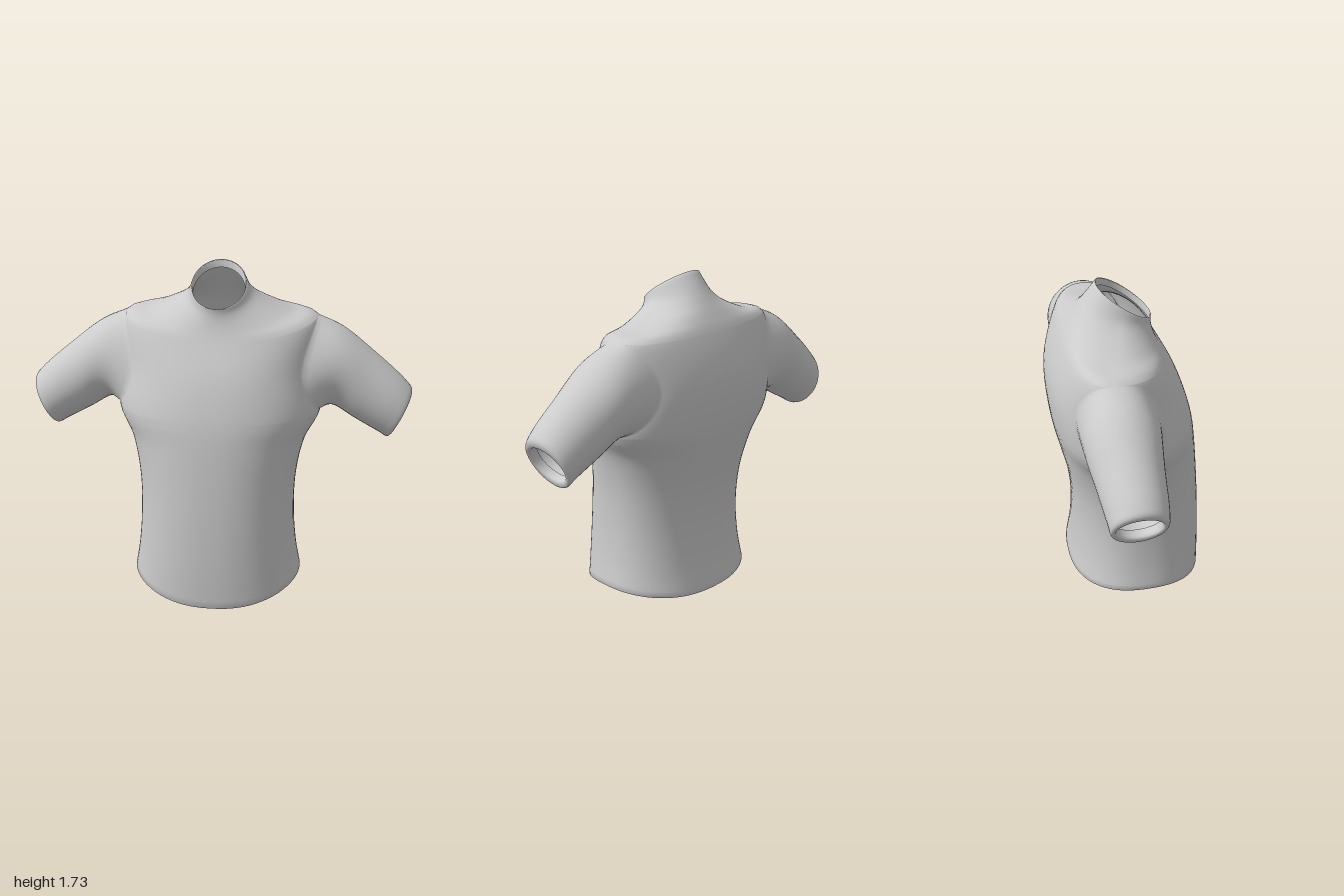
import * as THREE from 'three';

const V = (x, y, z) => new THREE.Vector3(x, y, z);

// Body sections from hem to collar rim: [frontY, frontZ, backY, backZ, sideX, sideY, sideZ]
const sections = [
  [0.00, 0.400, 0.05, -0.318, 0.445, 0.090, 0.03],
  [0.20, 0.400, 0.20, -0.295, 0.420, 0.240, 0.04],
  [0.42, 0.393, 0.42, -0.285, 0.405, 0.440, 0.04],
  [0.65, 0.378, 0.63, -0.305, 0.413, 0.650, 0.02],
  [0.87, 0.357, 0.83, -0.350, 0.455, 0.840, -0.02],
  [1.00, 0.335, 1.00, -0.385, 0.530, 0.985, -0.08], // armpit
  [1.20, 0.270, 1.25, -0.395, 0.515, 1.200, -0.12],
  [1.38, 0.175, 1.46, -0.327, 0.500, 1.455, -0.13], // shoulder
  [1.43, 0.152, 1.53, -0.285, 0.360, 1.490, -0.11],
  [1.475, 0.138, 1.585, -0.245, 0.220, 1.550, -0.06], // neck base
  [1.51, 0.133, 1.64, -0.205, 0.165, 1.590, -0.03],
  [1.54, 0.135, 1.73, -0.140, 0.140, 1.635, 0.00], // rim
];
const LAST = sections.length - 1;
const frontLine = new THREE.CatmullRomCurve3(sections.map(s => V(0, s[0], s[1])));
const backLine = new THREE.CatmullRomCurve3(sections.map(s => V(0, s[2], s[3])));
const sideLine = new THREE.CatmullRomCurve3(sections.map(s => V(s[4], s[5], s[6])));

// Sleeve sections outward: [topX, topY, bottomX, bottomY, frontZ, backZ]; the last two turn inside the cuff
const sleeveSections = [
  [0.630, 1.400, 0.585, 0.985, 0.070, -0.305],
  [0.800, 1.270, 0.700, 0.920, 0.055, -0.278],
  [0.960, 1.130, 0.830, 0.850, 0.045, -0.250],
  [0.997, 1.080, 0.877, 0.825, 0.033, -0.238],
  [0.985, 1.045, 0.885, 0.855, 0.013, -0.217],
  [0.940, 1.060, 0.845, 0.875, 0.008, -0.212],
];

const PANEL = 36;   // columns per front or back panel
const ARM = 20;     // rows along the armhole
const FRONT_ARM = 0.58, BACK_ARM = 0.72; // armhole half-angles

// Point on the body at section t and angle a (0 = left side, PI/2 = front)
function bodyPoint(t, a) {
  const s = Math.sin(a), c = Math.cos(a), k = t / LAST;
  const side = sideLine.getPoint(k);
  const mid = (s >= 0 ? frontLine : backLine).getPoint(k);
  const upper = THREE.MathUtils.smoothstep(t, 7, LAST);
  const e = THREE.MathUtils.lerp(0.88, 1, upper);
  const as = Math.abs(s);
  return V(
    side.x * Math.sign(c) * Math.abs(c) ** e,
    side.y + (mid.y - side.y) * as ** (2 - upper),
    side.z + (mid.z - side.z) * as ** e);
}

// Angle of the armhole edge around its loop (p = 0 armpit, PI shoulder)
const armAngle = p => Math.sin(p) * (p <= Math.PI ? FRONT_ARM : BACK_ARM);
const armSection = p => 6 - Math.cos(p);

export function createModel() {
  const positions = [], lookup = new Map();

  // Shared vertices keep shading smooth where body and sleeves join
  function vertex(p) {
    const key = [p.x, p.y, p.z].map(v => Math.round(v * 1e4 + 0.123)).join();
    if (!lookup.has(key)) {
      lookup.set(key, positions.length / 3);
      positions.push(p.x, p.y, p.z);
    }
    return lookup.get(key);
  }

  function skin(rows, index, flip = false) {
    const ids = rows.map(r => r.map(vertex));
    const tri = (a, b, c) => {
      if (a !== b && b !== c && a !== c) index.push(...(flip ? [a, c, b] : [a, b, c]));
    };
    for (let i = 0; i < ids.length - 1; i++) {
      for (let j = 0; j < ids[i].length - 1; j++) {
        const a = ids[i][j], b = ids[i + 1][j], c = ids[i + 1][j + 1], d = ids[i][j + 1];
        tri(a, b, c);
        tri(a, c, d);
      }
    }
  }

  // Body rows: evenly below the armpit, around the armhole, then up the neck
  const steps = [];
  for (let i = 0; i < 25; i++) steps.push({ t: i / 5, p: 0 });
  for (let i = 0; i <= ARM; i++) {
    const p = Math.PI * i / ARM;
    steps.push({ t: armSection(p), p });
  }
  for (let i = 1; i <= 20; i++) steps.push({ t: 7 + i / 5, p: 0 });

  const bodyIndex = [];
  for (const back of [false, true]) {
    const rows = steps.map(({ t, p }) => {
      const edge = p ? Math.sin(p) * (back ? BACK_ARM : FRONT_ARM) : 0;
      return Array.from({ length: PANEL + 1 }, (_, j) =>
        bodyPoint(t, (back ? Math.PI : 0) + edge + (Math.PI - 2 * edge) * j / PANEL));
    });
    // Turned-in lips at hem and collar
    const lip = (row, scale, dy, zc) =>
      row.map(q => V(q.x * scale, q.y + dy, zc + (q.z - zc) * scale));
    const hem = rows[0], rim = rows[rows.length - 1];
    rows.unshift(lip(hem, 0.93, 0.05, 0.04), lip(hem, 0.94, 0.012, 0.04), lip(hem, 0.97, 0, 0.04));
    rows.push(lip(rim, 0.96, -0.006, 0), lip(rim, 0.94, -0.04, 0));
    skin(rows, bodyIndex);
  }

  // Sleeves: each lengthwise line runs from the armhole edge to the cuff
  const lines = Array.from({ length: 2 * ARM + 1 }, (_, j) => {
    const p = Math.PI * j / ARM, c = Math.cos(p), s = Math.sin(p);
    const pts = sleeveSections.map(([tx, ty, bx, by, zf, zb]) => V(
      (tx + bx) / 2 - c * (tx - bx) / 2,
      (ty + by) / 2 - c * (ty - by) / 2,
      (zf + zb) / 2 + s * (zf - zb) / 2));
    return new THREE.CatmullRomCurve3([bodyPoint(armSection(p), armAngle(p)), ...pts]).getPoints(36);
  });
  const sleeveIndex = { leftSleeve: [], rightSleeve: [] };
  for (const [name, index] of Object.entries(sleeveIndex)) {
    const m = name === 'leftSleeve' ? 1 : -1;
    const rows = lines[0].map((_, i) => lines.map(l => V(l[i].x * m, l[i].y, l[i].z)));
    skin(rows, index, m < 0);
  }

  // Normals come from the whole garment, then each part takes its own faces
  const whole = new THREE.BufferGeometry();
  whole.setAttribute('position', new THREE.Float32BufferAttribute(positions, 3));
  whole.setIndex([...bodyIndex, ...sleeveIndex.leftSleeve, ...sleeveIndex.rightSleeve]);
  whole.computeVertexNormals();

  const material = new THREE.MeshStandardMaterial({ color: 0xcccccc, side: THREE.DoubleSide });
  const group = new THREE.Group();
  group.name = 'shirt';
  for (const [name, index] of Object.entries({ body: bodyIndex, ...sleeveIndex })) {
    const geometry = new THREE.BufferGeometry();
    geometry.setAttribute('position', whole.getAttribute('position'));
    geometry.setAttribute('normal', whole.getAttribute('normal'));
    geometry.setIndex(index);
    const mesh = new THREE.Mesh(geometry, material);
    mesh.name = name;
    group.add(mesh);
  }
  return group;
}
